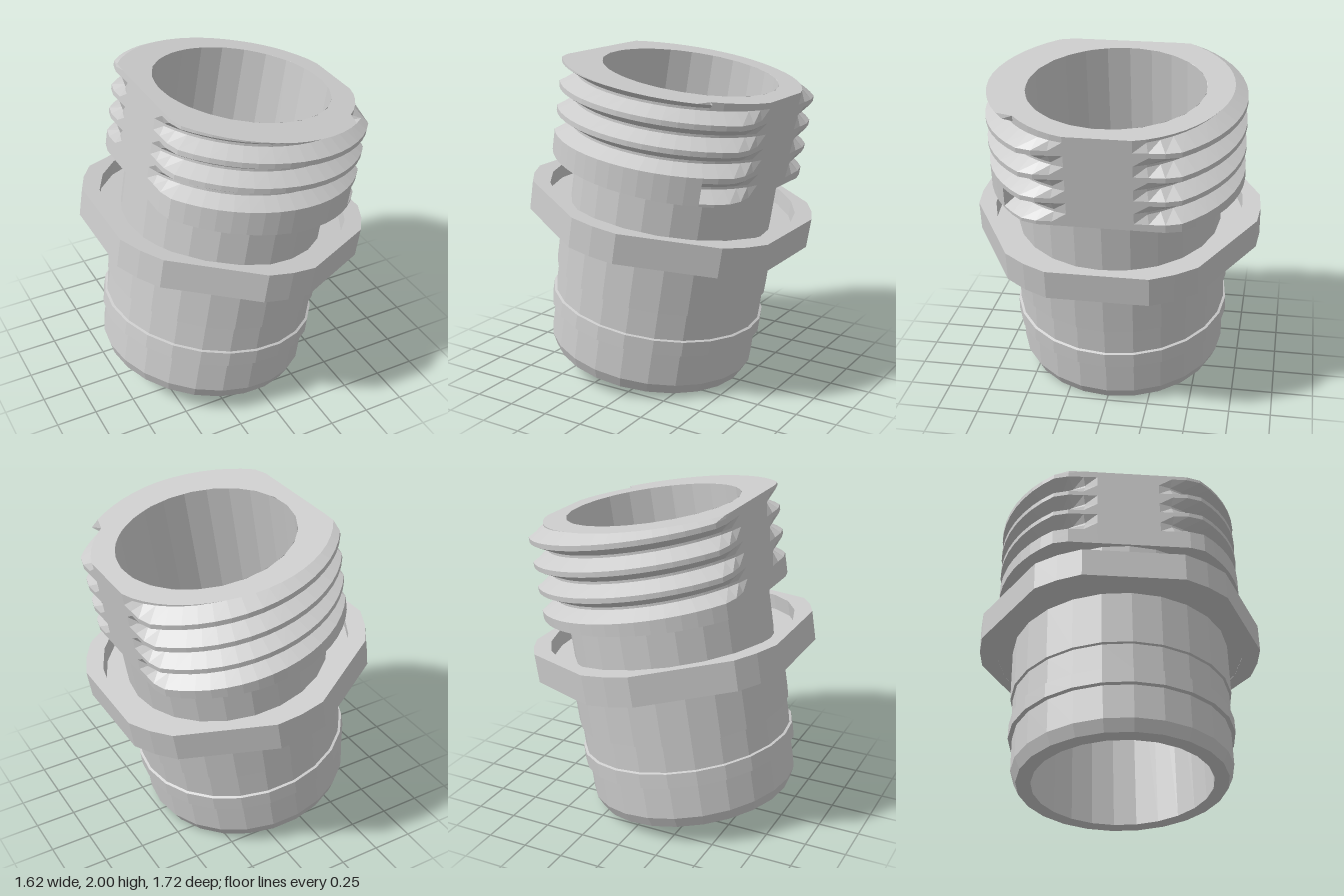
import * as THREE from 'three';

const TAU = Math.PI * 2;
const deg = THREE.MathUtils.degToRad;
const material = new THREE.MeshStandardMaterial({ color: 0xcccccc, flatShading: true, side: THREE.DoubleSide });

const BORE = 0.527;
const HEAD_BOTTOM = 1.257, HEAD_TOP = 1.823;
const CREST = 0.76, ROOT = 0.664, PITCH = 0.15, FLAT = 0.633;
const START = deg(-320); // the thread begins and ends at this angle

function add(parent, name, geometry) {
  const mesh = new THREE.Mesh(geometry, material);
  mesh.name = name;
  parent.add(mesh);
  return mesh;
}

function lathe(points, sides = 24) {
  return new THREE.LatheGeometry(points.map(([r, y]) => new THREE.Vector2(r, y)), sides);
}

// Closed outline in plan, from a radius rule; angles run from +z towards +x
function outline(PathType, count, radiusAt) {
  const points = [];
  for (let i = 0; i < count; i++) {
    const a = START + (i / count) * TAU, r = radiusAt(a);
    points.push(new THREE.Vector2(r * Math.sin(a), -r * Math.cos(a)));
  }
  return new PathType(points);
}

const helix = (angle) => 1.69 + (PITCH * angle) / TAU;

// Radius of the threaded head: trapezoid thread cut by two flats
function headRadius(angle, y) {
  const h = (y - helix(angle)) / PITCH;
  let r;
  if (h < -2) r = CREST; // solid collar under the first turn
  else if (h > 1.5) r = ROOT; // plain end above the last turn
  else {
    const d = Math.abs(h - Math.round(h));
    r = THREE.MathUtils.mapLinear(THREE.MathUtils.clamp(d, 0.1, 0.45), 0.1, 0.45, CREST, ROOT);
  }
  return Math.min(r, FLAT / Math.max(Math.abs(Math.sin(angle)), 1e-6));
}

// Rows follow the helix, clamped to the two ends of the head
function threadGeometry(columns = 54) {
  const offsets = [-0.1, 0.1, 0.45, 0.55], rows = [];
  for (let k = -4; k <= 3; k++) offsets.forEach((o) => rows.push(k + o));
  const n = rows.length, position = [], index = [];
  for (let c = 0; c <= columns; c++) {
    const a = START + (c / columns) * TAU;
    for (const h of rows) {
      const y = THREE.MathUtils.clamp(helix(a) + h * PITCH, HEAD_BOTTOM, HEAD_TOP);
      const r = headRadius(a, y);
      position.push(r * Math.sin(a), y, r * Math.cos(a));
    }
  }
  const quad = (a, b, c, d) => index.push(a, b, c, a, c, d);
  for (let c = 0; c < columns; c++) {
    for (let j = 0; j < n - 1; j++) {
      const p = c * n + j;
      quad(p, p + n, p + n + 1, p + 1);
    }
  }
  // Seam: one turn on, each row meets the row one pitch higher
  for (let j = 0; j + offsets.length < n - 1; j++) {
    const p = columns * n + j, q = j + offsets.length;
    quad(p, q, q + 1, p + 1);
  }
  const geometry = new THREE.BufferGeometry();
  geometry.setAttribute('position', new THREE.Float32BufferAttribute(position, 3));
  geometry.setIndex(index);
  geometry.computeVertexNormals();
  return geometry;
}

// Flat ring closing one end of the head
function headCap(y, inner) {
  const shape = outline(THREE.Shape, 54, (a) => headRadius(a, y));
  shape.holes.push(outline(THREE.Path, 24, () => inner));
  return new THREE.ShapeGeometry(shape).rotateX(-Math.PI / 2).translate(0, y, 0);
}

// Hexagon with clipped corners, hollowed by a round recess
function flangeGeometry() {
  const shape = new THREE.Shape();
  const points = [];
  for (let k = 0; k < 6; k++) {
    for (const o of [-10, 0, 10]) {
      const a = deg(30 + 60 * k + o);
      points.push(new THREE.Vector2(0.86 * Math.cos(a), 0.86 * Math.sin(a)));
    }
  }
  shape.setFromPoints(points);
  shape.holes.push(outline(THREE.Path, 24, () => 0.755));
  return new THREE.ExtrudeGeometry(shape, { depth: 0.18, bevelEnabled: false })
    .rotateX(-Math.PI / 2).translate(0, 0.878, 0);
}

export function createModel() {
  const model = new THREE.Group();
  model.name = 'threadedFitting';

  // The whole fitting leans towards +x
  const fitting = new THREE.Group();
  fitting.name = 'leaningFitting';
  fitting.position.set(-0.155, 0.1, 0);
  fitting.rotation.z = -deg(9.15);
  model.add(fitting);

  // Chamfered foot, raised band, shallow groove, sleeve and recess floor
  add(fitting, 'sleeve', lathe([
    [BORE, 0], [0.613, 0], [0.644, 0.07], [0.642, 0.277], [0.667, 0.28], [0.665, 0.37],
    [0.65, 0.375], [0.648, 0.54], [0.662, 0.545], [0.66, 0.88],
    [0.765, 0.88], [0.765, 0.96], [0.62, 0.96],
  ]));
  add(fitting, 'neck', lathe([[0.62, 0.96], [0.62, HEAD_BOTTOM]]));
  add(fitting, 'bore', lathe([[BORE, HEAD_TOP], [BORE, 0]]));
  add(fitting, 'hexFlange', flangeGeometry());

  // Threaded head
  const head = new THREE.Group();
  head.name = 'threadedHead';
  fitting.add(head);
  add(head, 'thread', threadGeometry());
  add(head, 'topRim', headCap(HEAD_TOP, BORE));
  add(head, 'headUnderside', headCap(HEAD_BOTTOM, 0.615));

  return model;
}
